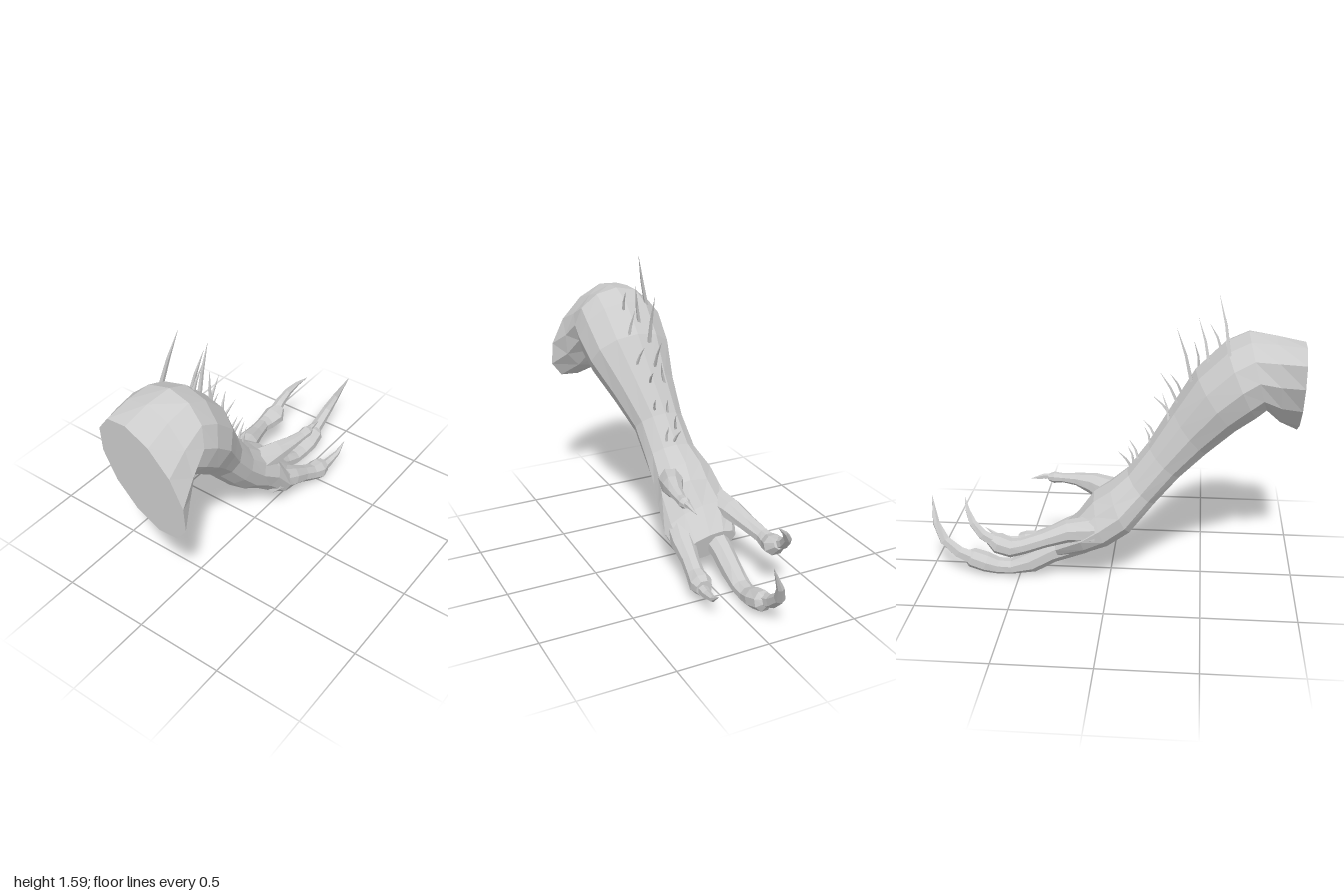
import * as THREE from 'three';

const V = (x, y, z) => new THREE.Vector3(x, y, z);
const skin = new THREE.MeshStandardMaterial({ color: 0xcccccc, flatShading: true, roughness: 0.9 });

// Joins equal-sized rings of points into a closed, capped skin
function loft(rings) {
  const n = rings[0].length, pos = [], idx = [];
  for (const ring of rings) for (const p of ring) pos.push(p.x, p.y, p.z);
  for (let k = 0; k < rings.length - 1; k++) {
    for (let i = 0; i < n; i++) {
      const j = (i + 1) % n, a = k * n, b = a + n;
      idx.push(a + i, b + i, a + j, a + j, b + i, b + j);
    }
  }
  const cap = (k, flip) => {
    const c = rings[k].reduce((s, p) => s.add(p), V(0, 0, 0)).divideScalar(n);
    const ci = pos.length / 3;
    pos.push(c.x, c.y, c.z);
    for (let i = 0; i < n; i++) {
      const a = k * n + i, b = k * n + (i + 1) % n;
      if (flip) idx.push(ci, b, a); else idx.push(ci, a, b);
    }
  };
  cap(0, false);
  cap(rings.length - 1, true);
  const g = new THREE.BufferGeometry();
  g.setAttribute('position', new THREE.Float32BufferAttribute(pos, 3));
  g.setIndex(idx);
  g.computeVertexNormals();
  return g;
}

// Tapered tube through stations [x, y, z, half width, half height]
function taper(stations, sides) {
  const pts = stations.map(s => V(s[0], s[1], s[2]));
  return loft(stations.map((s, k) => {
    const t = pts[Math.min(k + 1, pts.length - 1)].clone().sub(pts[Math.max(k - 1, 0)]).normalize();
    const side = V(1, 0, 0).addScaledVector(t, -t.x).normalize();
    const up = side.clone().cross(t);
    return Array.from({ length: sides }, (_, i) => {
      const a = (i + 0.5) / sides * Math.PI * 2;
      return pts[k].clone()
        .addScaledVector(side, Math.cos(a) * s[3])
        .addScaledVector(up, Math.sin(a) * (s[4] ?? s[3]));
    });
  }));
}

// Limb sections: top z, top y, bottom z, bottom y, min x, max x, skew of top in x, roll in y
const LIMB = [
  [1.00, 1.35, 1.00, 0.81, -0.13, 0.34, -0.08, -0.06],
  [0.85, 1.38, 0.90, 0.88, -0.17, 0.30, -0.04, -0.03],
  [0.71, 1.395, 0.82, 0.98, -0.20, 0.28, 0, 0],
  [0.59, 1.34, 0.77, 0.94, -0.22, 0.29, 0, 0],
  [0.44, 1.19, 0.67, 0.87, -0.21, 0.27, 0, 0],
  [0.32, 0.99, 0.52, 0.74, -0.175, 0.19, 0, 0],
  [0.20, 0.79, 0.38, 0.61, -0.165, 0.12, 0, 0],
  [0.09, 0.64, 0.25, 0.46, -0.185, 0.11, 0, 0],
  [0.00, 0.565, 0.12, 0.31, -0.25, 0.115, 0.02, 0],
  [-0.09, 0.50, 0.00, 0.23, -0.265, 0.14, 0.03, 0],
  [-0.18, 0.38, -0.11, 0.165, -0.27, 0.15, 0, -0.03],
  [-0.30, 0.26, -0.27, 0.12, -0.21, 0.12, 0, -0.03],
];

function limbGeometry() {
  const sides = 12;
  return loft(LIMB.map(([tz, ty, bz, by, x0, x1, skew, roll]) =>
    Array.from({ length: sides }, (_, i) => {
      const a = i / sides * Math.PI * 2, c = Math.cos(a), s = Math.sin(a);
      return V(
        (x0 + x1) / 2 + c * (x1 - x0) / 2 + s * skew,
        (ty + by) / 2 + s * (ty - by) / 2 + c * roll,
        (tz + bz) / 2 + s * (tz - bz) / 2);
    })));
}

// Digits and their claws, as tube stations
const DIGITS = {
  thumb: {
    digit: [[0.03, 0.46, 0.02, 0.08, 0.09], [0.085, 0.495, -0.11, 0.055, 0.06], [0.11, 0.505, -0.2, 0.04, 0.035],
      [0.122, 0.505, -0.28, 0.03, 0.025], [0.125, 0.505, -0.33, 0.032, 0.032], [0.125, 0.505, -0.36, 0.022, 0.02]],
    claw: [[0.125, 0.51, -0.33, 0.02], [0.125, 0.51, -0.39, 0.014], [0.12, 0.495, -0.46, 0.001]],
  },
  leftDigit: {
    digit: [[-0.19, 0.34, -0.08, 0.08, 0.08], [-0.215, 0.34, -0.22, 0.065, 0.06], [-0.25, 0.305, -0.34, 0.05, 0.045],
      [-0.28, 0.275, -0.45, 0.042, 0.045], [-0.285, 0.265, -0.51, 0.052, 0.052], [-0.275, 0.285, -0.58, 0.065, 0.055],
      [-0.275, 0.315, -0.63, 0.035, 0.03]],
    claw: [[-0.285, 0.30, -0.6, 0.035], [-0.285, 0.335, -0.66, 0.03], [-0.265, 0.39, -0.715, 0.022],
      [-0.225, 0.445, -0.75, 0.013], [-0.17, 0.5, -0.775, 0.001]],
  },
  middleDigit: {
    digit: [[-0.10, 0.24, -0.15, 0.08, 0.08], [-0.11, 0.16, -0.32, 0.062, 0.06], [-0.11, 0.095, -0.43, 0.058, 0.06],
      [-0.105, 0.06, -0.54, 0.055, 0.042], [-0.10, 0.055, -0.62, 0.05, 0.045], [-0.10, 0.075, -0.69, 0.062, 0.055],
      [-0.10, 0.10, -0.77, 0.055, 0.055], [-0.105, 0.115, -0.80, 0.03, 0.03]],
    claw: [[-0.11, 0.10, -0.76, 0.04], [-0.11, 0.135, -0.84, 0.036], [-0.10, 0.20, -0.92, 0.03],
      [-0.07, 0.29, -0.97, 0.02], [-0.01, 0.43, -1.0, 0.001]],
  },
  rightDigit: {
    digit: [[0.05, 0.27, -0.10, 0.08, 0.08], [0.085, 0.215, -0.24, 0.065, 0.06], [0.095, 0.165, -0.34, 0.05, 0.05],
      [0.105, 0.125, -0.42, 0.05, 0.05], [0.11, 0.105, -0.49, 0.062, 0.062], [0.115, 0.105, -0.54, 0.045, 0.045]],
    claw: [[0.12, 0.10, -0.51, 0.032], [0.125, 0.10, -0.59, 0.026], [0.135, 0.12, -0.67, 0.016], [0.14, 0.17, -0.74, 0.001]],
  },
};

// Spines along the upper edge: base x, y, z and tip x, y, z
const SPINES = [
  [-0.10, 1.30, 0.61, -0.03, 1.60, 0.55], [0.06, 1.29, 0.57, 0.07, 1.42, 0.51],
  [-0.01, 1.22, 0.51, 0.035, 1.46, 0.45], [0.08, 1.16, 0.46, 0.05, 1.33, 0.43],
  [-0.03, 1.14, 0.42, -0.03, 1.42, 0.34], [0.07, 1.04, 0.37, 0.05, 1.15, 0.31],
  [-0.03, 1.02, 0.35, -0.03, 1.18, 0.26], [0.02, 0.94, 0.31, 0.04, 1.03, 0.22],
  [-0.07, 0.92, 0.31, -0.03, 1.07, 0.27], [0.03, 0.81, 0.23, 0.05, 0.89, 0.17],
  [-0.04, 0.79, 0.21, -0.03, 0.88, 0.18], [-0.06, 0.71, 0.15, -0.04, 0.81, 0.10],
  [-0.03, 0.65, 0.11, -0.04, 0.74, 0.04], [0.01, 0.66, 0.12, 0.01, 0.75, 0.09],
];

export function createModel() {
  const model = new THREE.Group();
  model.name = 'clawedLimb';
  const add = (name, geometry, parent = model) => {
    const mesh = new THREE.Mesh(geometry, skin);
    mesh.name = name;
    parent.add(mesh);
  };

  add('limbAndPalm', limbGeometry());

  for (const [name, { digit, claw }] of Object.entries(DIGITS)) {
    const group = new THREE.Group();
    group.name = name;
    add(name + 'Flesh', taper(digit, 8), group);
    add(name + 'Claw', taper(claw, 6), group);
    model.add(group);
  }

  // Each spine bows slightly backwards towards its tip
  const spines = new THREE.Group();
  spines.name = 'spines';
  for (const [x, y, z, tx, ty, tz] of SPINES) {
    const r = 0.007 + 0.02 * (ty - y);
    add('spine', taper([
      [x, y, z, r],
      [(x + tx) / 2, (y + ty) / 2, (z + tz) / 2 + 0.008, r * 0.7],
      [tx, ty, tz, 0.0005],
    ], 4), spines);
  }
  model.add(spines);
  return model;
}
